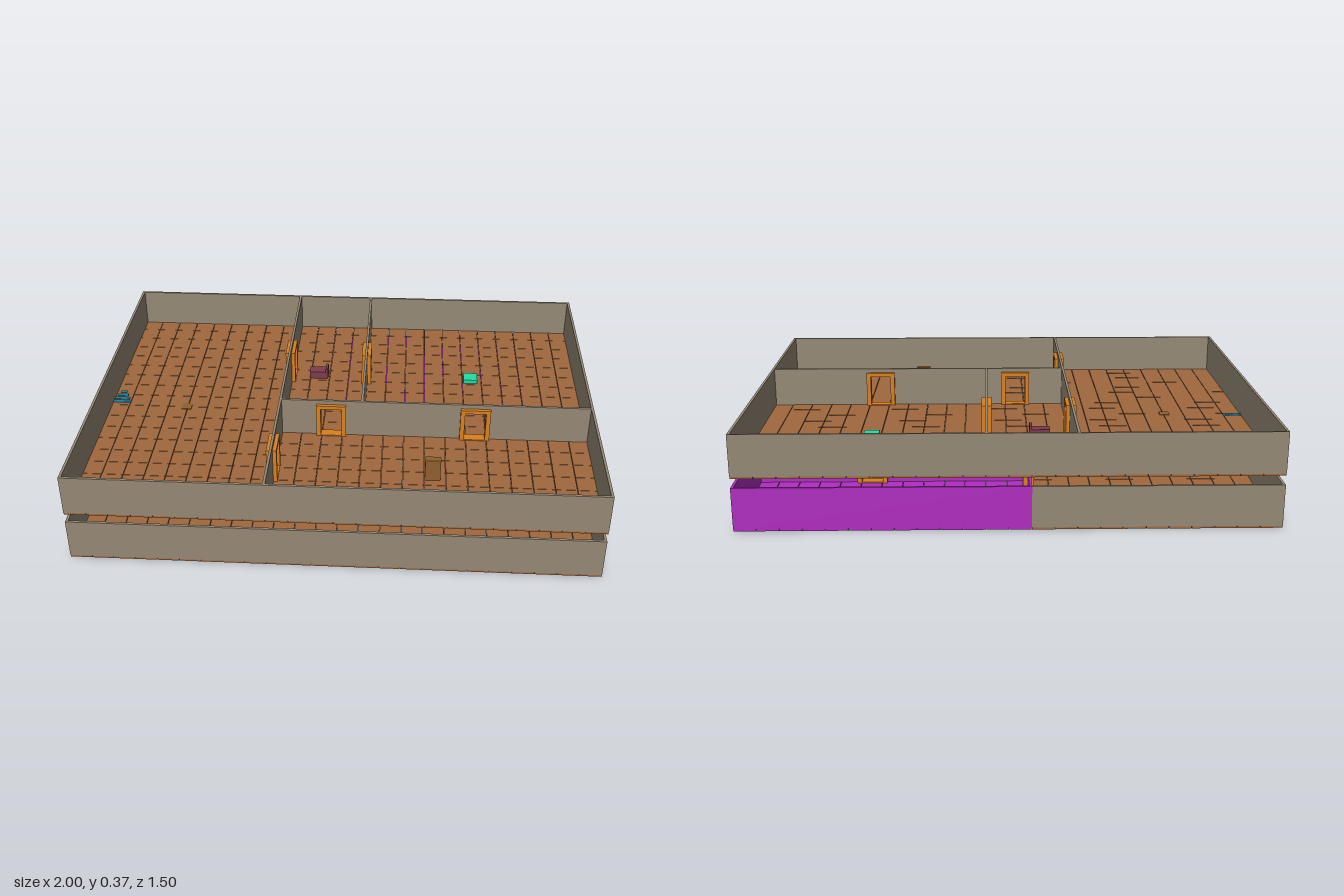
import * as THREE from 'three';
import { mergeGeometries } from 'three/addons/utils/BufferGeometryUtils.js';

const CELL = 1 / 12, SLAB = 0.008, TOP = 0.167, STOREY = 0.202, T = 0.01;
const mat = (color) => new THREE.MeshStandardMaterial({ color, flatShading: true });
const M = {
  floor: mat(0xa0683f), wall: mat(0x958975), accent: mat(0xb02ec0), door: mat(0xd9811f),
  chest: mat(0x7d3c4c), table: mat(0x20dca8), cabinet: mat(0x8e6030), stair: mat(0x2f9fc0),
};

// Box from its minimum and maximum corners
function boxGeo(x0, y0, z0, x1, y1, z1) {
  return new THREE.BoxGeometry(x1 - x0, y1 - y0, z1 - z0)
    .translate((x0 + x1) / 2, (y0 + y1) / 2, (z0 + z1) / 2);
}
function add(parent, name, material, geos) {
  const mesh = new THREE.Mesh(mergeGeometries(geos), material);
  mesh.name = name;
  parent.add(mesh);
}

// A run along x or z at a fixed offset on the other axis
function run(axis, at, from, to, y0, y1, depth) {
  return axis === 'x'
    ? boxGeo(from, y0, at - depth / 2, to, y1, at + depth / 2)
    : boxGeo(at - depth / 2, y0, from, at + depth / 2, y1, to);
}

// Wall with full-height gaps, each filled by a door frame
function wall(parent, name, axis, at, from, to, doors = [], material = M.wall) {
  const pieces = [];
  let start = from;
  for (const d of doors) {
    pieces.push(run(axis, at, start, d - 0.05, SLAB, TOP, T));
    start = d + 0.05;
    add(parent, 'doorFrame', M.door, [
      run(axis, at, d - 0.06, d - 0.042, SLAB, 0.15, 0.04),
      run(axis, at, d + 0.042, d + 0.06, SLAB, 0.15, 0.04),
      run(axis, at, d - 0.06, d + 0.06, 0.135, 0.15, 0.04),
      run(axis, at, d - 0.06, d + 0.06, SLAB, 0.012, 0.04),
    ]);
    pieces.push(run(axis, at, d - 0.05, d + 0.05, 0.15, TOP, T));
  }
  pieces.push(run(axis, at, start, to, SLAB, TOP, T));
  add(parent, name, material, pieces);
}

// Separate square tiles; the accent room covers 13 by 6 of them
function tiles(parent, hasAccent) {
  const plain = [], accent = [], g = 0.001;
  for (let i = 0; i < 24; i++) {
    for (let j = 0; j < 18; j++) {
      const x = -1 + i * CELL, z = -0.75 + j * CELL;
      const list = hasAccent && i >= 11 && j < 6 ? accent : plain;
      list.push(boxGeo(x + g, 0, z + g, x + CELL - g, SLAB, z + CELL - g));
    }
  }
  add(parent, 'floorTiles', M.floor, plain);
  if (accent.length) add(parent, 'accentFloorTiles', M.accent, accent);
}

function lowerStorey() {
  const s = new THREE.Group();
  s.name = 'lowerStorey';
  tiles(s, true);
  const e = T / 2;
  wall(s, 'frontWall', 'x', 0.75 - e, -1, 1);
  wall(s, 'rightWall', 'z', -1 + e, -0.75, 0.75 - T);
  wall(s, 'backWall', 'x', -0.75 + e, -1 + T, -CELL);
  wall(s, 'leftWall', 'z', 1 - e, -0.25, 0.75 - T);
  // Accent room
  wall(s, 'accentBackWall', 'x', -0.75 + e, -CELL, 1, [], M.accent);
  wall(s, 'accentLeftWall', 'z', 1 - e, -0.75 + T, -0.25, [], M.accent);
  wall(s, 'accentSideWall', 'z', -CELL + e, -0.75 + T, -0.25, [-0.5], M.accent);
  wall(s, 'accentFrontWall', 'x', -0.25 - e, -CELL + T, 1 - T, [0.54], M.accent);
  // Stair rising toward the front, reaching the upper floor
  const steps = [];
  for (let k = 0; k < 12; k++) {
    const y = 0.012 + k * 0.0165, z = -0.2 + k * 0.0165;
    steps.push(boxGeo(-0.955, y, z, -0.92, y + 0.01, z + 0.018));
  }
  add(s, 'stair', M.stair, steps);
  return s;
}

function upperStorey() {
  const s = new THREE.Group();
  s.name = 'upperStorey';
  s.position.y = STOREY;
  tiles(s, false);
  const e = T / 2;
  wall(s, 'frontWall', 'x', 0.75 - e, -1, 1);
  wall(s, 'backWall', 'x', -0.75 + e, -1, 1);
  for (const [name, x] of [['rightWall', -1 + e], ['leftWall', 1 - e]]) {
    wall(s, name, 'z', x, -0.75 + T, 0.75 - T);
  }
  // Partitions
  wall(s, 'longPartition', 'z', -0.25, -0.75 + T, 0.75 - T, [-0.29, 0.45]);
  wall(s, 'shortPartition', 'z', 0.08, -0.75 + T, 0.162, [-0.29]);
  wall(s, 'crossPartition', 'x', 0.165, -0.245, 1 - T, [-0.045, 0.535]);
  // Furniture
  add(s, 'chest', M.chest, [
    boxGeo(-0.17, SLAB, -0.315, -0.1, 0.04, -0.265),
    boxGeo(-0.1, SLAB, -0.315, -0.09, 0.055, -0.265),
  ]);
  add(s, 'table', M.table, [boxGeo(0.505, SLAB, -0.32, 0.565, 0.025, -0.26)]);
  add(s, 'cabinet', M.cabinet, [boxGeo(0.335, SLAB, 0.44, 0.395, 0.1, 0.468)]);
  add(s, 'floorHatch', M.cabinet, [boxGeo(-0.69, SLAB, -0.02, -0.65, 0.011, 0.02)]);
  // Tapering steps at the stair head
  const steps = [];
  for (let k = 0; k < 4; k++) {
    const half = 0.04 - k * 0.009, z = -0.018 - k * 0.017;
    steps.push(boxGeo(-0.955 - half, SLAB + k * 0.005, z - 0.012, -0.955 + half, 0.014 + k * 0.005, z));
  }
  add(s, 'stairHead', M.stair, steps);
  return s;
}

export function createModel() {
  const model = new THREE.Group();
  model.name = 'twoStoreyFloorPlan';
  model.add(lowerStorey(), upperStorey());
  return model;
}
